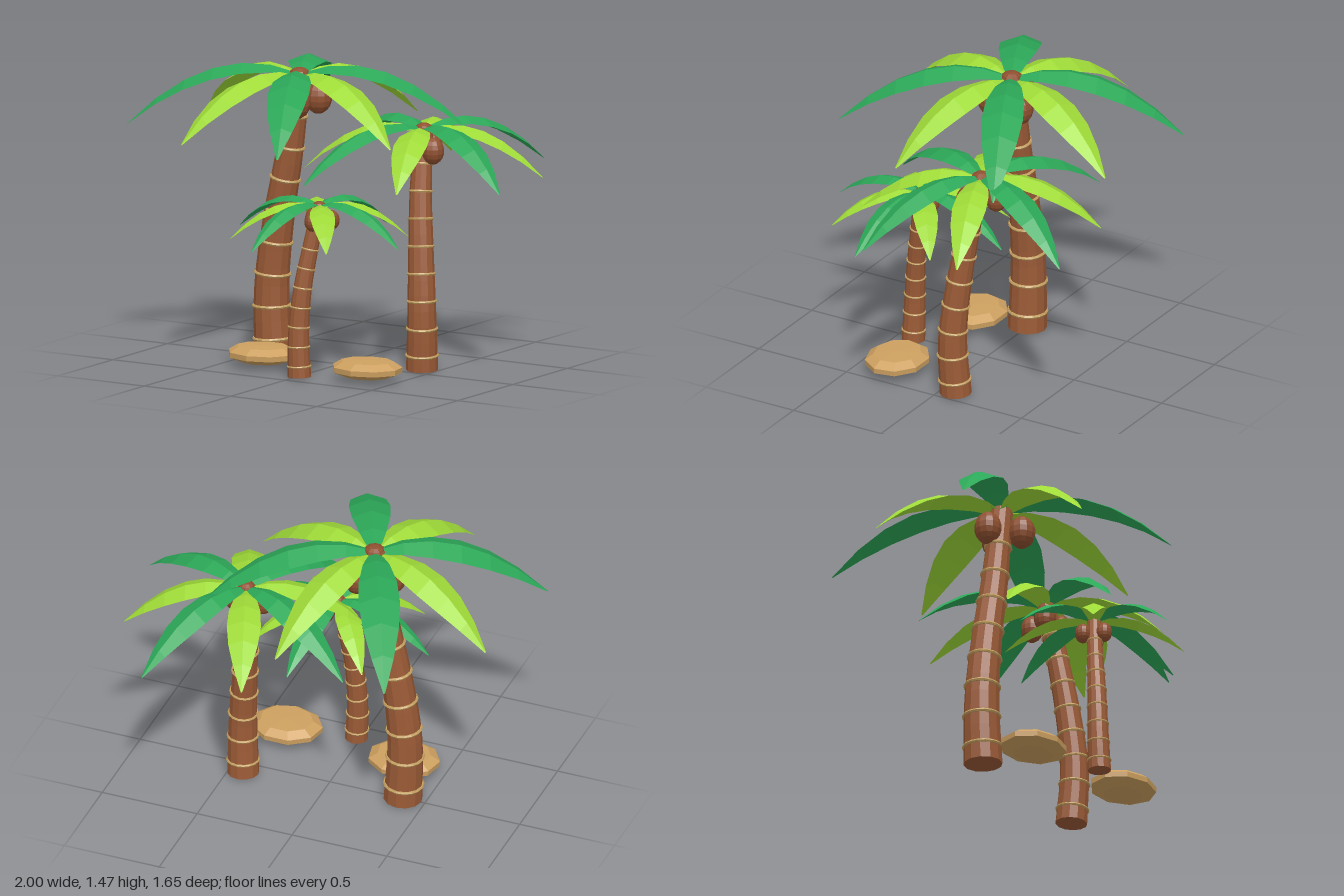
import * as THREE from 'three';

const mat = (name, color, side = THREE.FrontSide) =>
  new THREE.MeshStandardMaterial({ name, color, side, flatShading: true });

const UP = new THREE.Vector3(0, 1, 0);

// Arched leaf pointing along +x: a raised midrib with two drooping halves
function frondGeometry(length, scale, rise, drop) {
  const halfWidths = [0.022, 0.066, 0.094, 0.102, 0.088, 0.054, 0.004];
  const n = halfWidths.length - 1;
  const rows = halfWidths.map((w, i) => {
    const t = i / n;
    const x = length * t;
    const y = rise * t - drop * t * t;
    const hw = w * scale;
    return [[x, y - hw * 0.4, -hw], [x, y, 0], [x, y - hw * 0.4, hw]];
  });
  const pos = [];
  for (let i = 0; i < n; i++) {
    for (let j = 0; j < 2; j++) {
      const a = rows[i][j], b = rows[i][j + 1], c = rows[i + 1][j + 1], d = rows[i + 1][j];
      pos.push(...a, ...b, ...c, ...a, ...c, ...d);
    }
  }
  const g = new THREE.BufferGeometry();
  g.setAttribute('position', new THREE.Float32BufferAttribute(pos, 3));
  g.computeVertexNormals();
  return g;
}

// Tapered cylinder bent along a curve
function trunkGeometry(curve, bottom, top) {
  const g = new THREE.CylinderGeometry(top, bottom, 1, 12, 16);
  const p = g.attributes.position;
  const v = new THREE.Vector3(), q = new THREE.Quaternion();
  for (let i = 0; i < p.count; i++) {
    const t = THREE.MathUtils.clamp(p.getY(i) + 0.5, 0, 1);
    q.setFromUnitVectors(UP, curve.getTangentAt(t));
    v.set(p.getX(i), 0, p.getZ(i)).applyQuaternion(q).add(curve.getPointAt(t));
    p.setXYZ(i, v.x, v.y, v.z);
  }
  g.computeVertexNormals();
  return g;
}

export function createModel() {
  const bark = mat('bark brown', 0x9a5a36);
  const shell = mat('coconut brown', 0x8f5030);
  const rope = mat('ring tan', 0xc4a060);
  const sand = mat('stone tan', 0xcda060);
  const darkLeaf = mat('dark green', 0x2ca858, THREE.DoubleSide);
  const lightLeaf = mat('light green', 0x9fdb38, THREE.DoubleSide);

  const model = new THREE.Group();
  model.name = 'palmGrove';
  const add = (parent, name, geometry, material) => {
    const m = new THREE.Mesh(geometry, material);
    m.name = name;
    parent.add(m);
    return m;
  };

  function palm(name, s, path, leafAngle, nutAngle) {
    const tree = new THREE.Group();
    tree.name = name;
    model.add(tree);

    // Trunk and its raised rings
    const curve = new THREE.CatmullRomCurve3(path.map((p) => new THREE.Vector3(...p)));
    const bottom = 0.096 * s, top = 0.056 * s;
    add(tree, 'trunk', trunkGeometry(curve, bottom, top), bark);
    for (let i = 0; i < 8; i++) {
      const t = 0.062 + i * 0.113;
      const r = THREE.MathUtils.lerp(bottom, top, t);
      const ring = add(tree, 'trunkRing',
        new THREE.TorusGeometry(r, 0.009 * s, 6, 16).rotateX(Math.PI / 2), rope);
      ring.position.copy(curve.getPointAt(t));
      ring.quaternion.setFromUnitVectors(UP, curve.getTangentAt(t));
    }

    // Crown: cap, coconuts and eight alternating fronds
    const crown = new THREE.Group();
    crown.name = 'crown';
    crown.position.set(...path[path.length - 1]);
    tree.add(crown);
    const cap = add(crown, 'crownCap', new THREE.SphereGeometry(0.052 * s, 10, 6), shell);
    cap.scale.y = 0.6;
    for (let i = 0; i < 3; i++) {
      const a = THREE.MathUtils.degToRad(nutAngle + i * 120);
      const nut = add(crown, 'coconut', new THREE.SphereGeometry(0.068 * s, 12, 9), shell);
      nut.position.set(Math.cos(a) * 0.1 * s, -0.125 * s, Math.sin(a) * 0.1 * s);
      nut.scale.y = 1.22;
    }
    const longLeaf = frondGeometry(0.85 * s, s, 0.34 * s, 0.61 * s);
    const shortLeaf = frondGeometry(0.73 * s, s, 0.29 * s, 0.55 * s);
    for (let i = 0; i < 8; i++) {
      const isDark = i % 2 === 0;
      const leaf = add(crown, isDark ? 'longFrond' : 'shortFrond',
        isDark ? longLeaf : shortLeaf, isDark ? darkLeaf : lightLeaf);
      leaf.rotation.y = -THREE.MathUtils.degToRad(leafAngle + i * 45);
      leaf.position.y = isDark ? 0 : -0.012 * s;
    }
  }

  palm('tallPalm', 1, [
    [-0.385, 0.01, 0], [-0.395, 0.36, 0], [-0.355, 0.7, 0],
    [-0.295, 1.02, 0], [-0.235, 1.43, 0]], 65, 65);
  palm('middlePalm', 0.82, [
    [0.425, 0.01, -0.08], [0.432, 0.3, -0.066], [0.412, 0.6, -0.09],
    [0.385, 0.88, -0.13], [0.365, 1.19, -0.19]], 25.5, 25);
  palm('smallPalm', 0.6, [
    [0.022, 0.01, 0.405], [0.015, 0.22, 0.402], [0.027, 0.44, 0.386],
    [0.054, 0.65, 0.355], [0.085, 0.86, 0.325]], 8, 330);

  // Flat faceted stones
  const profile = [[0, 0.018], [0.11, 0.026], [0.18, 0.052], [0.182, 0.078], [0.135, 0.106], [0, 0.111]]
    .map(([r, y]) => new THREE.Vector2(r, y));
  for (const [x, z] of [[-0.295, 0.24], [0.347, 0.3]]) {
    const stone = add(model, 'stone', new THREE.LatheGeometry(profile, 9), sand);
    stone.position.set(x, 0, z);
    stone.scale.z = 0.84;
    stone.rotation.y = 0;
  }
  return model;
}
